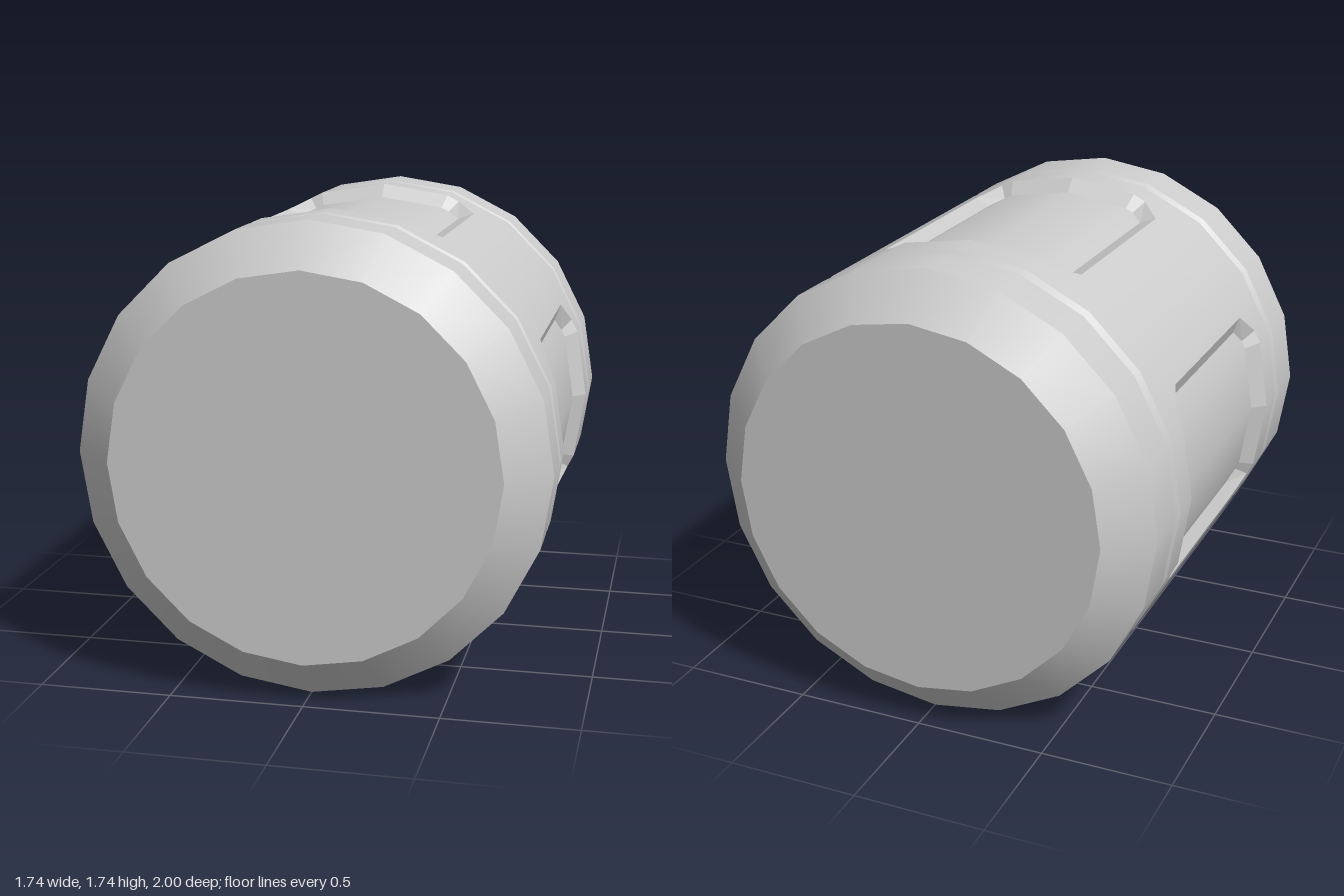
import * as THREE from 'three';

const SIDES = 20, R = 0.87, FLOOR = 0.82, BODY = 0.615;
const STEP = (Math.PI * 2) / SIDES;
const deg = THREE.MathUtils.degToRad;

// Point on a 20-sided drum lying along z; angle a is measured from +y towards +x.
function onDrum(a, z, r) {
  const local = a - Math.floor(a / STEP + 1e-6) * STEP - STEP / 2;
  const d = (r * Math.cos(STEP / 2)) / Math.cos(local);
  return new THREE.Vector3(d * Math.sin(a), d * Math.cos(a), z);
}

// Surface from pairs of matching rows; smooth strips get radial normals.
function strips(list, smooth) {
  const pos = [];
  for (const [lo, hi] of list) {
    for (let i = 0; i + 1 < lo.length; i++) {
      for (const p of [lo[i], hi[i], hi[i + 1], lo[i], hi[i + 1], lo[i + 1]]) pos.push(p.x, p.y, p.z);
    }
  }
  const g = new THREE.BufferGeometry();
  g.setAttribute('position', new THREE.Float32BufferAttribute(pos, 3));
  g.computeVertexNormals();
  if (smooth) {
    const n = g.attributes.normal;
    for (let i = 0; i < n.count; i++) {
      const l = Math.hypot(pos[i * 3], pos[i * 3 + 1]);
      n.setXYZ(i, pos[i * 3] / l, pos[i * 3 + 1] / l, 0);
    }
  }
  return g;
}

// Half outline of a panel as [angle, half length], mirrored to the full width.
function outline(points, r) {
  const full = [...points.slice(1).reverse().map(([a, h]) => [-a, h]), ...points];
  return {
    lo: full.map(([a, h]) => onDrum(deg(a), -h, r)),
    hi: full.map(([a, h]) => onDrum(deg(a), h, r)),
    row: (z) => full.map(([a]) => onDrum(deg(a), z, r)),
  };
}

export function createModel() {
  const model = new THREE.Group();
  model.name = 'barrel';
  const drum = new THREE.Group();
  drum.name = 'drum';
  drum.position.y = R;
  model.add(drum);

  const grey = new THREE.MeshStandardMaterial({ color: 0xcccccc });
  grey.name = 'light grey';
  const add = (parent, name, geometry) => {
    const mesh = new THREE.Mesh(geometry, grey);
    mesh.name = name;
    parent.add(mesh);
  };

  // Middle body: four identical quarters, each with a recessed panel
  const rim = outline([[0, 0.49], [18, 0.49], [21.6, 0.49], [27.4, 0.4]], R);
  const floor = outline([[0, 0.44], [18, 0.44], [20.3, 0.44], [24.1, 0.395]], FLOOR);
  const between = [27.4, 36, 45, 54, 62.6];
  const plain = (z) => between.map((a) => onDrum(deg(a), z, R));
  const last = rim.lo.length - 1;

  const skin = strips([
    [rim.row(-BODY), rim.lo],
    [rim.hi, rim.row(BODY)],
    [plain(-BODY), plain(BODY)],
  ], true);
  const walls = strips([
    [rim.lo, floor.lo],
    [floor.hi, rim.hi],
    [[rim.lo[0], floor.lo[0]], [rim.hi[0], floor.hi[0]]],
    [[floor.lo[last], rim.lo[last]], [floor.hi[last], rim.hi[last]]],
  ], false);
  const panel = strips([[floor.lo, floor.hi]], true);

  for (let i = 0; i < 4; i++) {
    const quarter = new THREE.Group();
    quarter.name = 'bodyQuarter';
    quarter.rotation.z = (i * Math.PI) / 2;
    add(quarter, 'bodySkin', skin);
    add(quarter, 'panelWalls', walls);
    add(quarter, 'panelFloor', panel);
    drum.add(quarter);
  }

  // Ends: groove, hoop, chamfer and flat cap, as [name, inner r, inner z, outer r, outer z]
  const bands = [
    ['grooveInner', R, BODY, 0.85, 0.635],
    ['grooveBottom', 0.85, 0.635, 0.85, 0.645],
    ['grooveOuter', 0.85, 0.645, R, 0.668],
    ['hoop', R, 0.668, R, 0.86],
    ['chamfer', R, 0.86, 0.713, 1],
  ];
  for (const turn of [0, Math.PI]) {
    const end = new THREE.Group();
    end.name = turn ? 'backEnd' : 'frontEnd';
    end.rotation.y = turn;
    for (const [name, r0, z0, r1, z1] of bands) {
      const g = new THREE.CylinderGeometry(r1, r0, z1 - z0, SIDES, 1, true);
      add(end, name, g.rotateX(Math.PI / 2).translate(0, 0, (z0 + z1) / 2));
    }
    add(end, 'cap', new THREE.CircleGeometry(0.713, SIDES).translate(0, 0, 1));
    drum.add(end);
  }
  return model;
}
